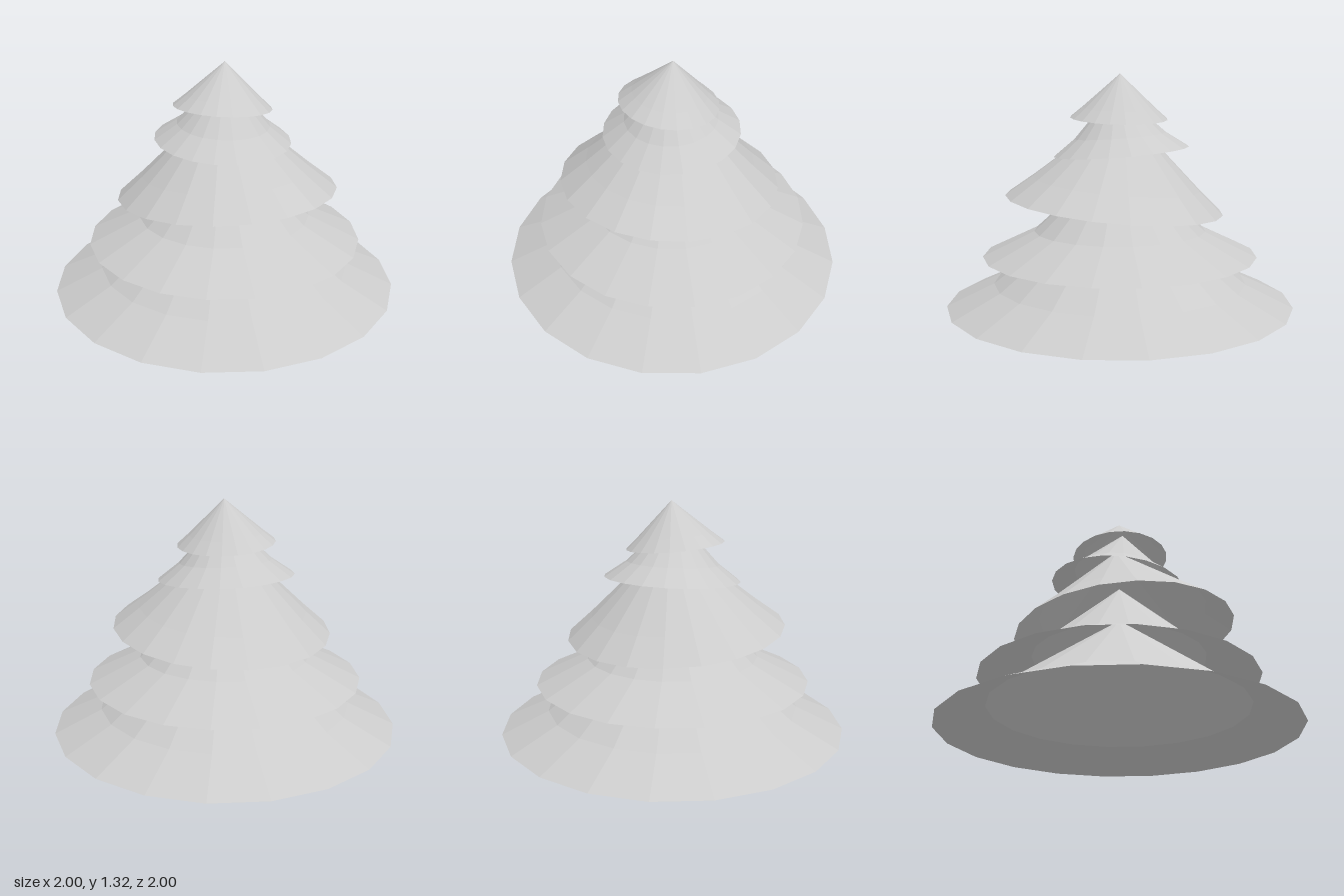
import * as THREE from 'three';

// Each tier: rim centre, rim radius, crease radius and height, tip height, tilt (slope along x and z)
const TIERS = [
  { name: 'bottomBoughs', at: [0, 0, 0], rim: 1, crease: [0.73, 0.125], tip: 0.67, slope: [0, 0] },
  { name: 'lowerBoughs', at: [0, 0.285, 0], rim: 0.79, crease: [0.495, 0.14], tip: 0.59, slope: [0, 0] },
  { name: 'middleBoughs', at: [0.01, 0.58, 0.03], rim: 0.63, crease: [0.485, 0.12], tip: 0.55, slope: [0.032, 0.088] },
  { name: 'upperBoughs', at: [-0.008, 0.88, -0.005], rim: 0.39, crease: [0.265, 0.09], tip: 0.36, slope: [-0.032, -0.071] },
  { name: 'topBoughs', at: [-0.012, 1.07, 0.012], rim: 0.28, crease: [0.21, 0.06], tip: 0.252, slope: [-0.063, 0.063] },
];

export function createModel() {
  const tree = new THREE.Group();
  tree.name = 'layeredFirTree';
  const material = new THREE.MeshStandardMaterial({
    color: 0xcccccc, flatShading: true, side: THREE.DoubleSide,
  });
  const up = new THREE.Vector3(0, 1, 0);

  // Open, flared 20-sided cones stacked up the tree; the upper ones lean a little
  for (const { name, at, rim, crease, tip, slope } of TIERS) {
    const profile = [
      new THREE.Vector2(rim, 0),
      new THREE.Vector2(...crease),
      new THREE.Vector2(0, tip),
    ];
    const tier = new THREE.Mesh(new THREE.LatheGeometry(profile, 20), material);
    tier.name = name;
    tier.position.set(...at);
    const axis = new THREE.Vector3(-slope[0], 1, -slope[1]).normalize();
    tier.quaternion.setFromUnitVectors(up, axis);
    tree.add(tier);
  }
  return tree;
}
